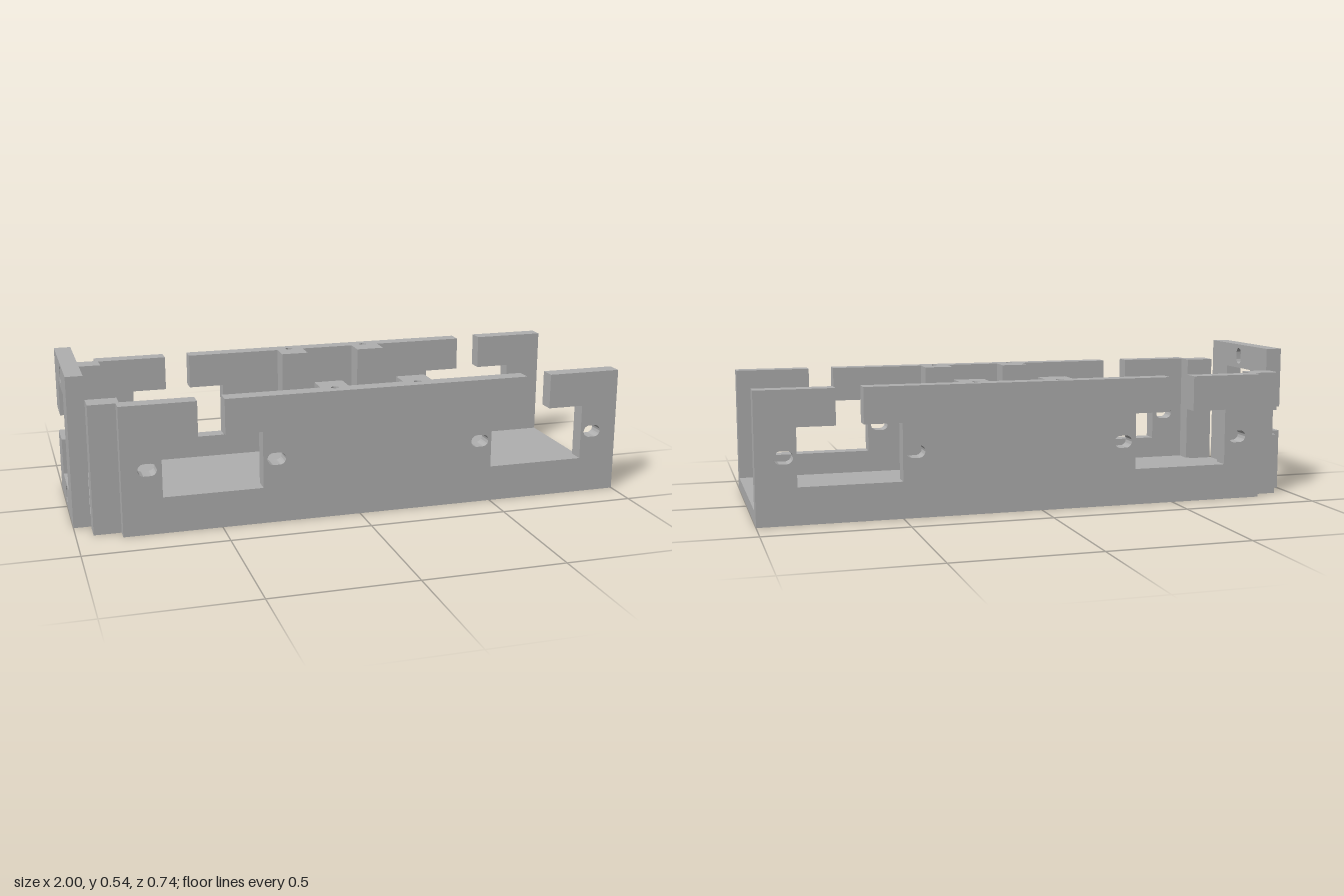
import * as THREE from 'three';
import { toCreasedNormals } from 'three/addons/utils/BufferGeometryUtils.js';

const FLOOR = 0.047, TOP = 0.46, INNER = 0.31, OUTER = 0.369, CAP = 0.36;
const WALL_END = -0.845, PLATE_IN = -0.94, GROOVE = -0.925;

const grey = new THREE.MeshStandardMaterial({ color: 0xb0b0b0 });
grey.name = 'grey plastic';

const polygon = (pts) => new THREE.Shape(pts.map(([x, y]) => new THREE.Vector2(x, y)));

function circle(x, y, r) {
  const p = new THREE.Path();
  p.absarc(x, y, r, 0, Math.PI * 2);
  return p;
}

function hexagon(x, y, r) {
  const pts = [];
  for (let i = 0; i < 6; i++) {
    const a = (i * Math.PI) / 3;
    pts.push(new THREE.Vector2(x + r * Math.cos(a), y + r * Math.sin(a)));
  }
  return new THREE.Path(pts);
}

// Rounded slot: dx, dy are half the distance between the arc centres
function slot(x, y, dx, dy, r) {
  const p = new THREE.Path();
  const a = dx > 0 ? -Math.PI / 2 : 0;
  p.absarc(x + dx, y + dy, r, a, a + Math.PI);
  p.absarc(x - dx, y - dy, r, a + Math.PI, a + Math.PI * 2);
  p.closePath();
  return p;
}

const extrude = (shape, depth) => toCreasedNormals(
  new THREE.ExtrudeGeometry(shape, { depth, bevelEnabled: false, curveSegments: 16 }), 0.6);

// Extrude a plan shape (x, -z) between two heights
const slab = (shape, y0, y1) => extrude(shape, y1 - y0).rotateX(-Math.PI / 2).translate(0, y0, 0);

export function createModel() {
  const group = new THREE.Group();
  group.name = 'mountingTray';

  const add = (name, geometry) => {
    const mesh = new THREE.Mesh(geometry, grey);
    mesh.name = name;
    group.add(mesh);
  };
  const box = (name, x0, x1, y0, y1, z0, z1) => add(name,
    new THREE.BoxGeometry(x1 - x0, y1 - y0, Math.abs(z1 - z0))
      .translate((x0 + x1) / 2, (y0 + y1) / 2, (z0 + z1) / 2));

  // Floor layers: hexagonal nut pockets below, round bores above, small groove at the end
  const bores = [-0.045, 0.195], boreZ = -0.084;
  const layers = [[0, 0.015, true, false], [0.015, 0.035, true, true], [0.035, FLOOR, false, true]];
  for (const [y0, y1, hex, groove] of layers) {
    const pts = [[PLATE_IN, -0.232], [WALL_END, -0.232], [WALL_END, -OUTER], [1, -OUTER],
      [1, OUTER], [WALL_END, OUTER], [WALL_END, 0.232], [PLATE_IN, 0.232]];
    if (groove) {
      pts.push([PLATE_IN, 0.018], [GROOVE, 0.018], [GROOVE, -0.018], [PLATE_IN, -0.018]);
    }
    const shape = polygon(pts);
    for (const x of bores) {
      shape.holes.push(hex ? hexagon(x, -boreZ, 0.046) : circle(x, -boreZ, 0.027));
    }
    add('floor', slab(shape, y0, y1));
  }

  // Screw bosses on the floor
  for (const x of bores) {
    const ring = new THREE.Shape();
    ring.absarc(x, -boreZ, 0.046, 0, Math.PI * 2);
    ring.holes.push(circle(x, -boreZ, 0.027));
    add('screwBoss', slab(ring, FLOOR, 0.093));
  }

  // Side wall profile: two windows, each open to the top through a narrow slot
  const windows = [[-0.705, -0.353, -0.578, -0.484], [0.5, 0.86, 0.633, 0.727]];
  const ribs = [[-0.13, -0.027, -0.08], [0.177, 0.285, 0.228]];
  const windowPath = ([w0, w1, s0, s1]) => [[s0, TOP], [s0, 0.333], [w0, 0.333], [w0, 0.13],
    [w1, 0.13], [w1, 0.333], [s1, 0.333], [s1, TOP]];
  const capStart = ribs[0][0], capEnd = ribs[1][1];
  const wall = polygon([[1, FLOOR], [WALL_END, FLOOR], [WALL_END, TOP],
    ...windowPath(windows[0]),
    [capStart, TOP], [capStart, CAP], [capEnd, CAP], [capEnd, TOP],
    ...windowPath(windows[1]), [1, TOP]]);
  for (const x of [-0.755, -0.305, 0.455, 0.905]) {
    wall.holes.push(slot(x, 0.232, 0.011, 0, 0.022));
  }

  for (const s of [1, -1]) {
    const side = s > 0 ? 'front' : 'back';
    add(side + 'Wall', extrude(wall, OUTER - INNER).translate(0, 0, s > 0 ? INNER : -OUTER));

    // Top of the wall and ribs, with vertical screw holes
    const outline = [[capStart, OUTER], [capEnd, OUTER]];
    for (const [x0, x1] of [...ribs].reverse()) {
      outline.push([x1, INNER], [x1, 0.232], [x0, 0.232], [x0, INNER]);
    }
    const cap = polygon(outline.map(([x, z]) => [x, -s * z]));
    for (const [, , x] of ribs) cap.holes.push(circle(x, -s * 0.322, 0.014));
    add(side + 'RibbedCap', slab(cap, CAP, TOP));
    for (const [x0, x1] of ribs) {
      box(side + 'Rib', x0, x1, FLOOR, CAP, s * 0.232, s * INNER);
    }

    // Corner post beside the end plate; the back one has a cable groove
    const post = s > 0
      ? [[PLATE_IN, 0], [-0.833, 0], [-0.833, TOP], [PLATE_IN, TOP]]
      : [[PLATE_IN, 0], [-0.833, 0], [-0.833, TOP], [PLATE_IN, TOP],
        [PLATE_IN, 0.317], [GROOVE, 0.317], [GROOVE, 0.225], [PLATE_IN, 0.225]];
    add(side + 'CornerPost', extrude(polygon(post), 0.075).translate(0, 0, s > 0 ? 0.247 : -0.322));
  }

  // End plate (z, y): large window open towards the back, with two upright slots
  const plate = polygon([[-0.232, 0], [0.232, 0], [0.232, 0.54], [-0.232, 0.54],
    [-0.232, 0.317], [-0.1, 0.317], [-0.1, 0.447], [0.1, 0.447],
    [0.1, 0.093], [-0.1, 0.093], [-0.1, 0.225], [-0.232, 0.225]]);
  for (const y of [0.046, 0.494]) plate.holes.push(slot(0, y, 0, 0.013, 0.018));
  add('endPlate', extrude(plate, 0.06).rotateY(-Math.PI / 2).translate(PLATE_IN, 0, 0));

  return group;
}
